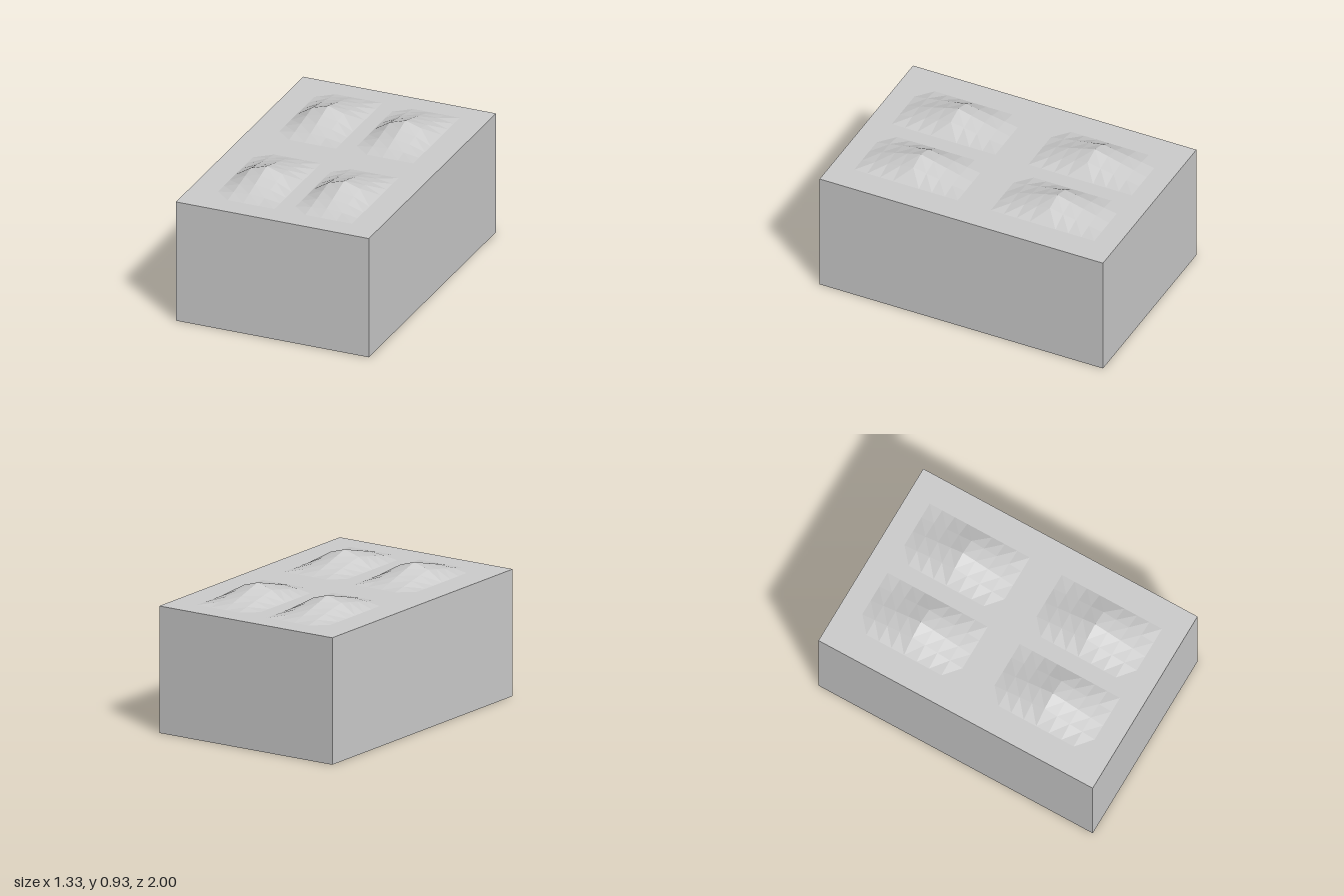
import * as THREE from 'three';

const material = new THREE.MeshStandardMaterial({ color: 0xcccccc, flatShading: true });
const TOP = 0.833;

// Low faceted mound on a 4 x 8 grid: rounded across x, a straight ridge slope along z
function moundGeometry() {
  const across = [0, 0.067, 0.1, 0.067, 0];
  const rows = 8, dx = 0.1073, dz = 0.0913;
  const point = (i, j) => [
    (i - 2) * dx,
    across[i] * (1 - Math.abs(j - rows / 2) / (rows / 2)),
    (j - rows / 2) * dz,
  ];
  const positions = [];
  const triangle = (...corners) => corners.forEach((p) => positions.push(...p));
  for (let j = 0; j < rows; j++) {
    for (let i = 0; i < 4; i++) {
      const a = point(i, j), b = point(i + 1, j);
      const c = point(i, j + 1), d = point(i + 1, j + 1);
      // the diagonals change direction at the ridge
      if (j < rows / 2) {
        triangle(a, c, b);
        triangle(b, c, d);
      } else {
        triangle(a, c, d);
        triangle(a, d, b);
      }
    }
  }
  const geometry = new THREE.BufferGeometry();
  geometry.setAttribute('position', new THREE.Float32BufferAttribute(positions, 3));
  geometry.computeVertexNormals();
  return geometry;
}

export function createModel() {
  const group = new THREE.Group();
  group.name = 'blockWithMounds';

  // Solid block
  const block = new THREE.Mesh(new THREE.BoxGeometry(1.333, TOP, 2), material);
  block.name = 'block';
  block.position.y = TOP / 2;
  group.add(block);

  // Four mounds on the top face
  const geometry = moundGeometry();
  for (const [zName, z] of [['back', -0.482], ['front', 0.482]]) {
    for (const [xName, x] of [['Right', -0.268], ['Left', 0.268]]) {
      const mound = new THREE.Mesh(geometry, material);
      mound.name = `${zName}${xName}Mound`;
      mound.position.set(x, TOP + 0.0005, z);
      group.add(mound);
    }
  }
  return group;
}
